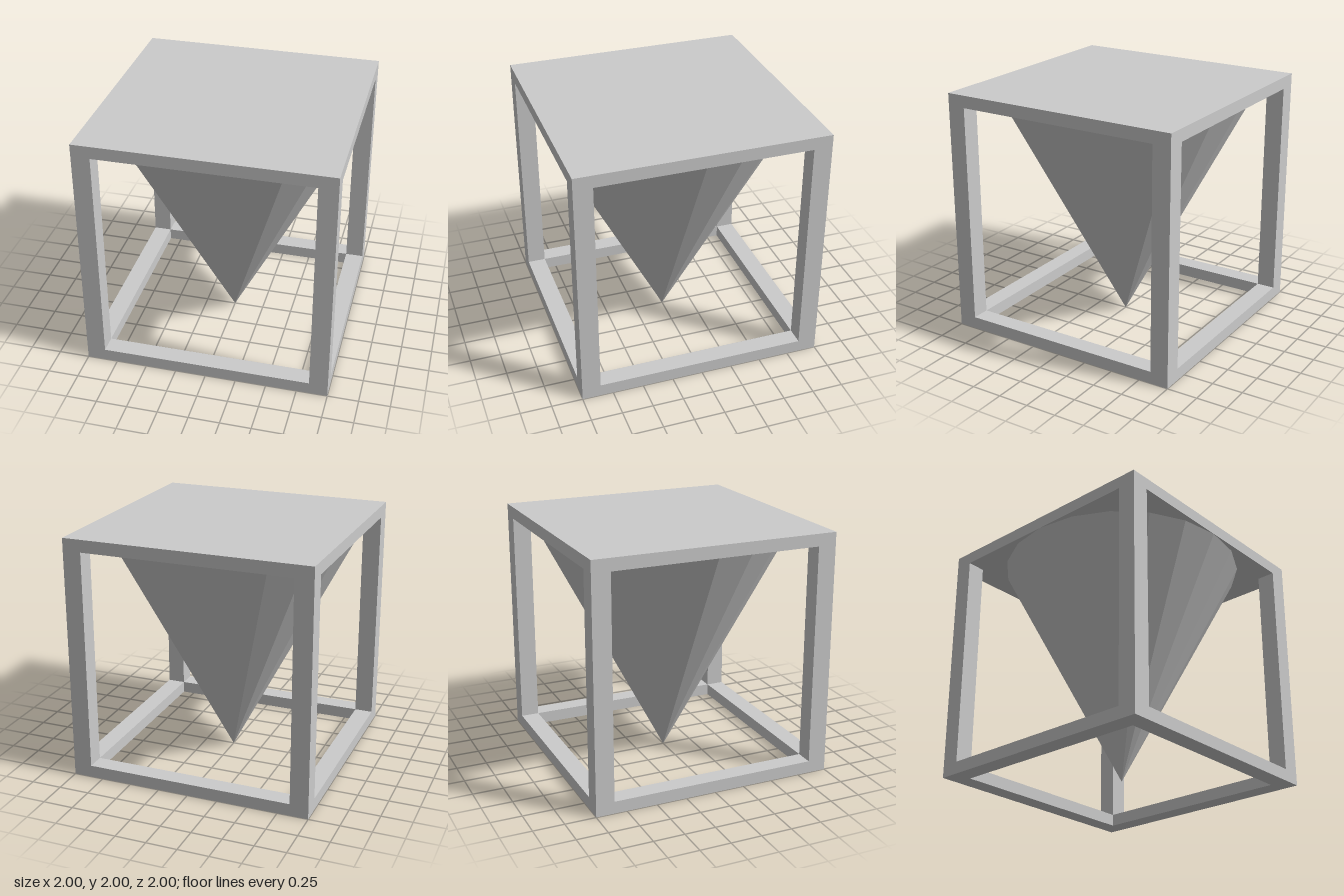
import * as THREE from 'three';

export function createModel() {
  const group = new THREE.Group();
  const material = new THREE.MeshStandardMaterial({ color: 0xcccccc, flatShading: true });

  const add = (name, geometry, x, y, z) => {
    const mesh = new THREE.Mesh(geometry, material);
    mesh.name = name;
    mesh.position.set(x, y, z);
    group.add(mesh);
  };

  const size = 2, post = 0.15, slab = 0.1;
  const legHeight = size - slab;
  const offset = (size - post) / 2;
  const span = size - 2 * post;

  // Table top
  add('top', new THREE.BoxGeometry(size, slab, size), 0, size - slab / 2, 0);

  // Corner legs
  for (const x of [-1, 1]) {
    for (const z of [-1, 1]) {
      add('leg', new THREE.BoxGeometry(post, legHeight, post), x * offset, legHeight / 2, z * offset);
    }
  }

  // Floor rails between the legs
  for (const s of [-1, 1]) {
    add('crossRail', new THREE.BoxGeometry(span, slab, post), 0, slab / 2, s * offset);
    add('sideRail', new THREE.BoxGeometry(post, slab, span), s * offset, slab / 2, 0);
  }

  // Inverted faceted cone hanging from the top, its tip at floor level
  add('cone', new THREE.CylinderGeometry(1, 0, legHeight, 20), 0, legHeight / 2, 0);

  return group;
}
